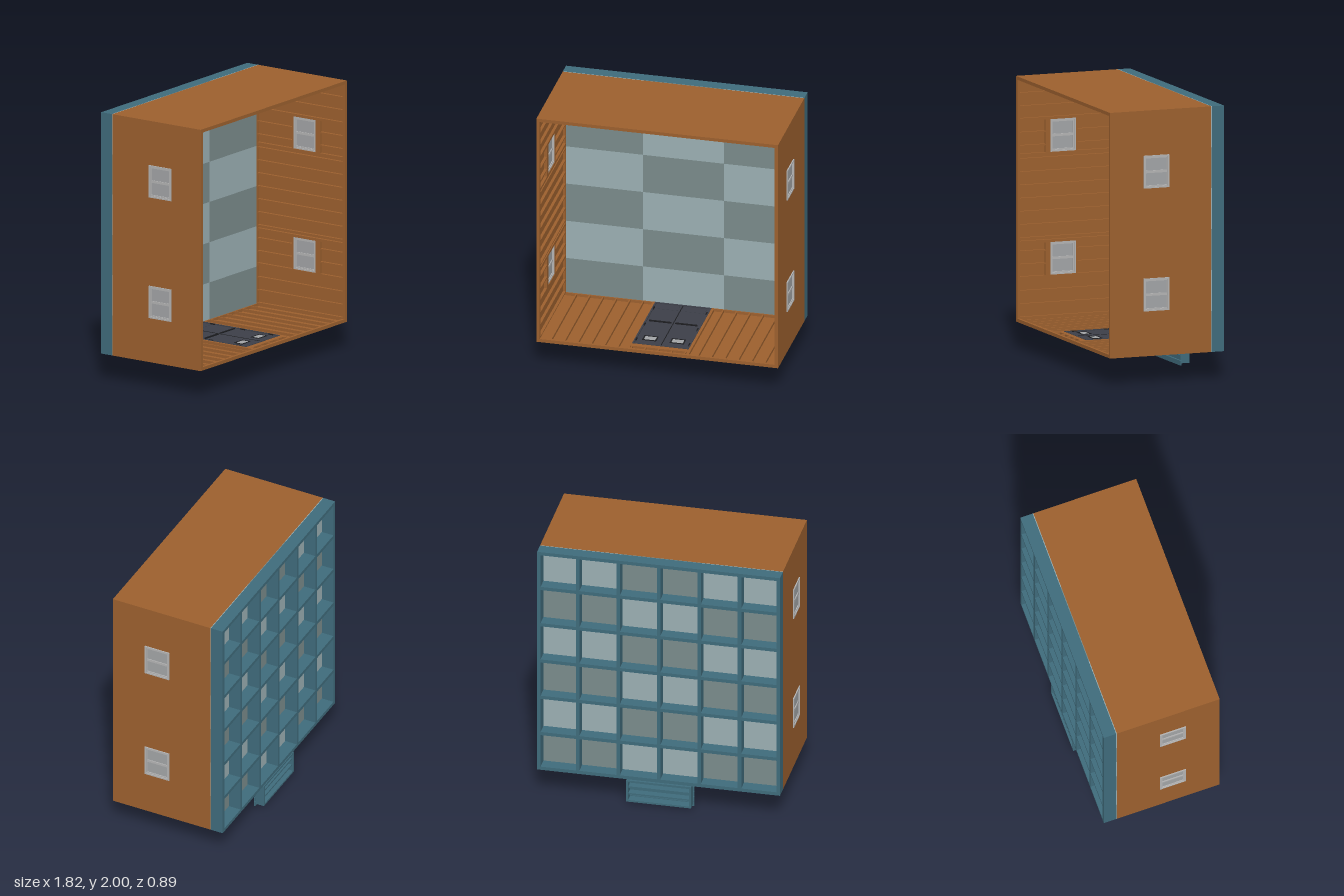
import * as THREE from 'three';

const mat = (color) => new THREE.MeshStandardMaterial({ color });
const wood = mat(0x9c602e), teal = mat(0x3f6b7b), lightPanel = mat(0x9bafb3), darkPanel = mat(0x7a8b8b);
const trim = mat(0xb4b4b4), glass = mat(0xa2a4a6), steel = mat(0x3c3f48), black = mat(0x1c1d20);

// Box given by its minimum and maximum corners
function box(parent, name, m, x0, x1, y0, y1, z0, z1) {
  const mesh = new THREE.Mesh(new THREE.BoxGeometry(x1 - x0, y1 - y0, z1 - z0), m);
  mesh.position.set((x0 + x1) / 2, (y0 + y1) / 2, (z0 + z1) / 2);
  mesh.name = name;
  parent.add(mesh);
  return mesh;
}

// Rectangular border of width t
function border(parent, name, m, x0, x1, y0, y1, z0, z1, t) {
  box(parent, name, m, x0, x1, y0, y0 + t, z0, z1);
  box(parent, name, m, x0, x1, y1 - t, y1, z0, z1);
  box(parent, name, m, x0, x0 + t, y0 + t, y1 - t, z0, z1);
  box(parent, name, m, x1 - t, x1, y0 + t, y1 - t, z0, z1);
}

const H = 0.79, SKIN = 0.004, T = 0.025, STUD = 0.01;

// Framed wall: x runs along it, y is its height, z points into the room.
// Openings are [x0, x1, y0, y1].
function makeWall(name, length, openings) {
  const wall = new THREE.Group();
  wall.name = name;
  const h = length / 2;
  const shape = new THREE.Shape([[-h, 0], [h, 0], [h, H], [-h, H]].map((p) => new THREE.Vector2(...p)));
  for (const [a, b, c, d] of openings)
    shape.holes.push(new THREE.Path([[a, c], [a, d], [b, d], [b, c]].map((p) => new THREE.Vector2(...p))));
  const skin = new THREE.Mesh(new THREE.ExtrudeGeometry(shape, { depth: SKIN, bevelEnabled: false }), wood);
  skin.name = 'siding';
  wall.add(skin);

  const beam = (n, x0, x1, y0, y1) => box(wall, n, wood, x0, x1, y0, y1, SKIN, T);
  beam('topPlate', -h, h, H - 2 * STUD, H);
  // Bottom plate, interrupted by doors
  let start = -h;
  for (const [a, b, c] of openings) {
    if (c > 0.05) continue;
    beam('bottomPlate', start, a, 0, STUD);
    start = b;
  }
  beam('bottomPlate', start, h, 0, STUD);
  // Studs, cut into short pieces above and below openings
  const top = H - 2 * STUD, count = Math.round(length / 0.1);
  for (let i = 0; i <= count; i++) {
    const x = -h + STUD / 2 + (i * (length - STUD)) / count;
    const o = openings.find(([a, b]) => x > a - 0.025 && x < b + 0.025);
    if (!o) beam('stud', x - STUD / 2, x + STUD / 2, STUD, top);
    else if (x > o[0] && x < o[1]) {
      if (o[2] > 0.05) beam('shortStud', x - STUD / 2, x + STUD / 2, STUD, o[2] - STUD);
      beam('shortStud', x - STUD / 2, x + STUD / 2, o[3] + 0.04, top);
    }
  }
  // Posts, header and sill round each opening
  for (const [a, b, c, d] of openings) {
    beam('post', a - 2 * STUD, a, STUD, top);
    beam('post', b, b + 2 * STUD, STUD, top);
    beam('header', a, b, d, d + 0.04);
    if (c > 0.05) beam('sill', a, b, c - STUD, c);
  }
  return wall;
}

// Two-pane sliding window
function addWindow(wall, [a, b, c, d]) {
  const g = new THREE.Group();
  g.name = 'window';
  wall.add(g);
  border(g, 'windowFrame', trim, a, b, c, d, -0.008, 0.02, 0.012);
  const mid = (a + b) / 2;
  for (const [x0, x1] of [[a + 0.012, mid], [mid, b - 0.012]]) {
    border(g, 'sash', trim, x0, x1, c + 0.012, d - 0.012, -0.002, 0.014, 0.009);
    box(g, 'pane', glass, x0 + 0.008, x1 - 0.008, c + 0.02, d - 0.02, 0.004, 0.008);
  }
}

// Double door with a small light, raised panels, push bar and knobs
function addDoors(wall, [a, b, c, d]) {
  const g = new THREE.Group();
  g.name = 'doubleDoor';
  wall.add(g);
  border(g, 'doorFrame', steel, a, b, c, d, -0.003, 0.028, 0.012);
  for (const s of [-1, 1]) {
    const span = (p, q) => (s > 0 ? [p, q] : [-q, -p]);
    box(g, 'doorLeaf', steel, ...span(0.002, b - 0.013), c + 0.012, d - 0.013, 0.003, 0.022);
    border(g, 'lightFrame', black, ...span(0.05, 0.155), 0.545, 0.62, 0, 0.025, 0.01);
    box(g, 'doorLight', glass, ...span(0.06, 0.145), 0.555, 0.61, 0.002, 0.0235);
    box(g, 'pushBar', black, ...span(0.015, 0.18), 0.3, 0.312, 0.022, 0.03);
    box(g, 'kickPlate', steel, ...span(0.02, 0.18), 0.03, 0.1, 0.001, 0.024);
    for (const y of [0.08, 0.35, 0.6])
      box(g, 'hinge', black, ...span(b - 0.018, b - 0.008), y, y + 0.04, -0.004, 0.029);
    const knob = new THREE.Mesh(new THREE.SphereGeometry(0.008, 12, 8), black);
    knob.name = 'doorKnob';
    knob.position.set(s * 0.02, 0.295, -0.008);
    g.add(knob);
    const stem = new THREE.Mesh(new THREE.CylinderGeometry(0.004, 0.004, 0.034, 10).rotateX(Math.PI / 2), black);
    stem.name = 'knobStem';
    stem.position.set(s * 0.02, 0.295, 0.009);
    g.add(stem);
  }
  box(g, 'doorSeam', black, -0.003, 0.003, c + 0.012, d - 0.013, 0.001, 0.024);
}

export function createModel() {
  const model = new THREE.Group();
  model.name = 'framedRoom';

  // Base grid of beams, six by six cells
  const base = new THREE.Group();
  base.name = 'baseGrid';
  model.add(base);
  const B = 0.026;
  for (let i = 0; i <= 6; i++) {
    const p = i === 0 ? 0 : i === 6 ? 1.8 - B : i * 0.3 - B / 2;
    box(base, 'longBeam', teal, -0.9, 0.9, 0.2 + p, 0.2 + p + B, -0.445, -0.35);
    for (let j = 0; j < 6; j++) {
      const y0 = 0.2 + j * 0.3 + (j ? B / 2 : B), y1 = 0.5 + j * 0.3 - (j < 5 ? B / 2 : B);
      box(base, 'crossBeam', teal, -0.9 + p, -0.9 + p + B, y0, y1, -0.445, -0.35);
    }
  }

  // Checkered floor panels
  for (let r = 0; r < 6; r++)
    for (let c = 0; c < 3; c++) {
      const x = -0.9 + c * 0.6, y = 0.2 + r * 0.3;
      box(model, 'floorPanel', (r + c) % 2 ? lightPanel : darkPanel, x, x + 0.6, y, y + 0.3, -0.35, -0.345);
    }

  // Four walls, each turned so that its inner side faces the middle
  const place = (wall, nx, ny, dist) => {
    const up = new THREE.Vector3(0, 0, 1), inward = new THREE.Vector3(nx, ny, 0);
    const along = new THREE.Vector3().crossVectors(up, inward);
    wall.quaternion.setFromRotationMatrix(new THREE.Matrix4().makeBasis(along, up, inward));
    wall.position.set(-nx * dist, 1.1 - ny * dist, -0.345);
    model.add(wall);
  };
  const windows = [[-0.57, -0.33, 0.33, 0.53], [0.33, 0.57, 0.33, 0.53]];
  for (const s of [-1, 1]) {
    const side = makeWall(s > 0 ? 'leftWall' : 'rightWall', 1.75, windows);
    windows.forEach((w) => addWindow(side, w));
    place(side, -s, 0, 0.9);
  }
  place(makeWall('plainWall', 1.8, []), 0, -1, 0.9);
  const doorway = [-0.21, 0.21, 0.005, 0.695];
  const doorWall = makeWall('doorWall', 1.8, [doorway]);
  addDoors(doorWall, doorway);
  place(doorWall, 0, 1, 0.9);

  // Small deck outside the door: boards on a joist frame
  const deck = new THREE.Group();
  deck.name = 'deck';
  model.add(deck);
  for (let i = 0; i < 5; i++)
    box(deck, 'deckBoard', teal, -0.25, 0.25, i * 0.041, i * 0.041 + 0.035, -0.38, -0.37);
  border(deck, 'deckFrame', teal, -0.24, 0.24, 0.015, 0.19, -0.445, -0.38, 0.014);
  for (const y of [0.07, 0.125])
    box(deck, 'deckJoist', teal, -0.226, 0.226, y, y + 0.012, -0.435, -0.38);

  return model;
}
